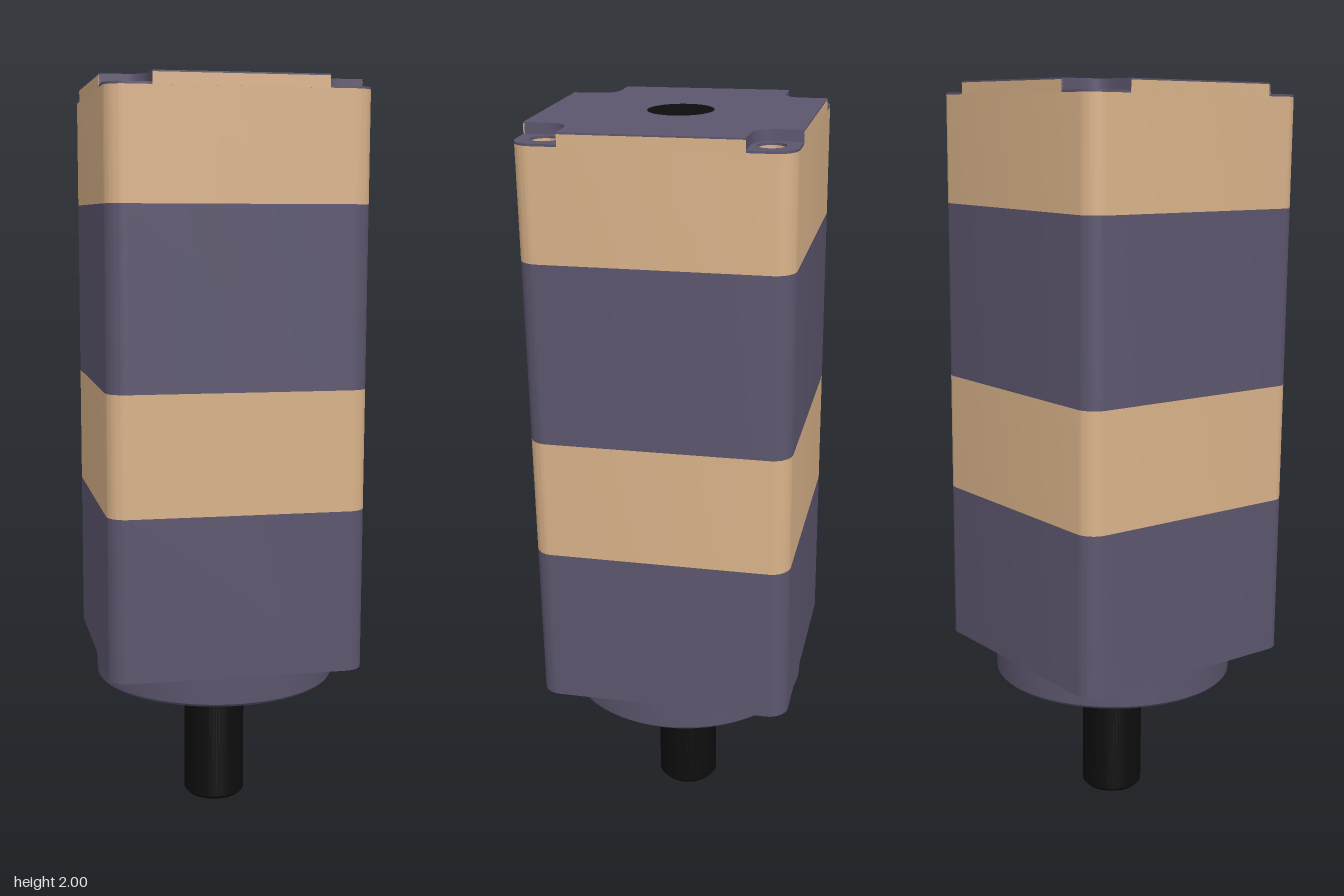
import * as THREE from 'three';
import { toCreasedNormals } from 'three/addons/utils/BufferGeometryUtils.js';

const material = (color, side = THREE.FrontSide) => new THREE.MeshStandardMaterial({ color, side });
const PURPLE = material(0x5c566e);
const TAN = material(0xdab38a);
const BLACK = material(0x0d0d0d);

const HALF = 0.343;   // half width of the square housing
const PITCH = 0.275;  // bolt offset from the axis
const BOLT_R = 0.035;
const CORNERS = [[1, 1], [-1, 1], [-1, -1], [1, -1]];

export function createModel() {
  const model = new THREE.Group();
  model.name = 'gearMotor';

  function add(name, geometry, mat, x = 0, y = 0, z = 0) {
    const mesh = new THREE.Mesh(geometry, mat);
    mesh.name = name;
    mesh.position.set(x, y, z);
    model.add(mesh);
    return mesh;
  }
  // Extrude a plan shape upwards from y0 to y1
  function slab(name, shape, y0, y1, mat) {
    const g = new THREE.ExtrudeGeometry(shape, { depth: y1 - y0, bevelEnabled: false, curveSegments: 16 });
    g.rotateX(-Math.PI / 2);
    return add(name, toCreasedNormals(g, 0.6), mat, 0, y0);
  }
  // Solid of revolution with crisp edges, from [radius, y] points going upwards
  function turned(name, points, mat, x = 0, y = 0, z = 0) {
    const g = new THREE.LatheGeometry(points.map(p => new THREE.Vector2(...p)), 64);
    return add(name, toCreasedNormals(g, 0.4), mat, x, y, z);
  }

  // Rounded square plan with four bolt holes
  function housingShape() {
    const s = new THREE.Shape(), h = HALF, r = 0.052, c = h - r;
    s.moveTo(h, -c);
    CORNERS.forEach(([sx, sy], i) => {
      const a = i * Math.PI / 2;
      s.absarc(sx * c, sy * c, r, a, a + Math.PI / 2, false);
    });
    s.closePath();
    for (const [sx, sy] of CORNERS) {
      const hole = new THREE.Path();
      hole.absarc(sx * PITCH, sy * PITCH, BOLT_R, 0, Math.PI * 2, true);
      s.holes.push(hole);
    }
    return s;
  }

  // Cross plan left between the notched corners
  function capShape() {
    const s = new THREE.Shape(), h = HALF, n = 0.225, r = 0.06;
    for (let i = 0; i < 4; i++) {
      const a = i * Math.PI / 2;
      const p = (x, y) => [x * Math.cos(a) - y * Math.sin(a), x * Math.sin(a) + y * Math.cos(a)];
      if (i === 0) s.moveTo(...p(h, -n));
      s.lineTo(...p(h, n));
      s.lineTo(...p(n + r, n));
      s.quadraticCurveTo(...p(n, n), ...p(n, n + r));
      s.lineTo(...p(n, h));
    }
    return s;
  }

  // Stacked housing sections
  const plan = housingShape();
  slab('lowerHousing', plan, 0.45, 0.885, PURPLE);
  slab('middleBand', plan, 0.885, 1.205, TAN);
  slab('upperHousing', plan, 1.205, 1.68, PURPLE);
  slab('topBand', plan, 1.68, 1.966, TAN);
  slab('cornerPads', plan, 1.966, 1.972, PURPLE);
  slab('topCap', capShape(), 1.972, 2.0, PURPLE);

  // Coloured edge strips around the cap, between the notches
  for (let i = 0; i < 4; i++) {
    const a = i * Math.PI / 2;
    const strip = add('capEdgeStrip', new THREE.BoxGeometry(0.45, 0.03, 0.004), TAN,
      Math.sin(a) * (HALF - 0.0015), 1.981, Math.cos(a) * (HALF - 0.0015));
    strip.rotation.y = a;
  }

  // Long bolts: dark at the top, housing coloured with a dimple below
  for (const [sx, sz] of CORNERS) {
    const x = sx * PITCH, z = sz * PITCH;
    add('bolt', new THREE.CylinderGeometry(BOLT_R, BOLT_R, 1.355, 32), BLACK, x, 1.28, z);
    turned('bottomScrew', [[0, 0.48], [0.016, 0.48], [0.016, 0.463], [BOLT_R, 0.463], [BOLT_R, 0.6]], PURPLE, x, 0, z);
  }

  // Round pilot flange with a seat for the seal
  turned('flange', [[0.2, 0.385], [0.295, 0.385], [0.295, 0.365], [0.325, 0.365],
    [0.333, 0.373], [0.336, 0.45], [0, 0.45]], PURPLE);
  turned('sealRing', [[0.2, 0.368], [0.248, 0.368], [0.248, 0.374], [0.256, 0.374],
    [0.256, 0.368], [0.295, 0.368], [0.295, 0.39]], TAN);
  turned('bearingCover', [[0, 0.351], [0.218, 0.351], [0.223, 0.356], [0.223, 0.39]], PURPLE);

  // Small cup-headed screws on the bearing cover
  for (let i = 0; i < 3; i++) {
    const a = Math.PI + i * Math.PI * 2 / 3;
    turned('coverScrew', [[0, 0.35], [0.011, 0.35], [0.014, 0.345], [0.024, 0.345], [0.027, 0.354]],
      PURPLE, 0.155 * Math.cos(a), 0, 0.155 * Math.sin(a));
  }

  // Through shaft with a chamfered lower end
  turned('shaft', [[0, 0.001], [0.076, 0.001], [0.085, 0.011], [0.085, 2.0005], [0, 2.0005]], BLACK);

  // The whole unit leans very slightly forwards
  const root = new THREE.Group();
  model.rotation.x = 0.0112;
  model.position.z = -0.0135;
  root.name = 'motorAssembly';
  root.add(model);
  return root;
}
